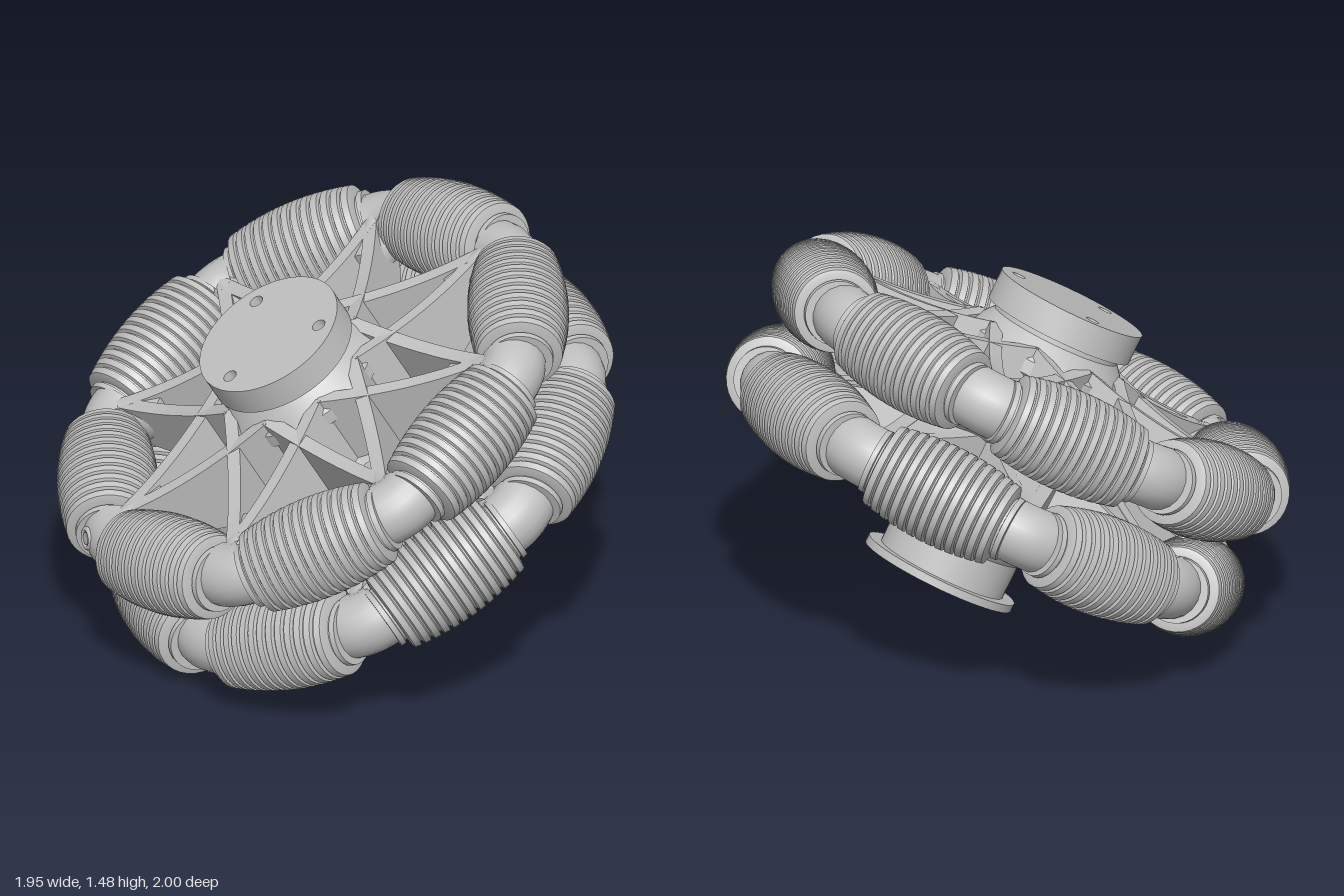
import * as THREE from 'three';
import { toCreasedNormals } from 'three/addons/utils/BufferGeometryUtils.js';

const grey = new THREE.MeshStandardMaterial({ color: 0xc0c0c0 });
grey.name = 'grey plastic';

const STEP = Math.PI / 4;      // eight rollers per ring
const PATH = 0.82;             // distance of roller axles from the hub axis
const OFFSET = 0.185;          // axial offset of each ring

function add(parent, name, geometry, x = 0, y = 0, z = 0) {
  const mesh = new THREE.Mesh(geometry, grey);
  mesh.name = name;
  mesh.position.set(x, y, z);
  parent.add(mesh);
  return mesh;
}

const lathe = (points, sides) => toCreasedNormals(
  new THREE.LatheGeometry(points.map(([r, y]) => new THREE.Vector2(r, y)), sides), 0.6);

// Barrel roller with ribs, following the outer circle of the wheel
function rollerGeometry() {
  const ribs = 13, half = 0.245, pitch = 2 * half / ribs;
  const points = [[0, -0.275], [0.118, -0.275], [0.12, -0.255], [0.11, -0.253], [0.11, -half]];
  for (let i = 0; i < ribs; i++) {
    for (const [f, depth] of [[0.04, 0.013], [0.16, 0], [0.78, 0], [0.9, 0.013]]) {
      const s = -half + (i + f) * pitch;
      points.push([Math.sqrt(1 - s * s) - PATH - depth, s]);
    }
  }
  points.push([0.11, half], [0.11, 0.253], [0.12, 0.255], [0.118, 0.275], [0, 0.275]);
  return lathe(points, 32).rotateX(Math.PI / 2);
}

// Short bent elbow joining two neighbouring rollers
function jointGeometry() {
  return new THREE.TorusGeometry(0.155, 0.115, 20, 8, STEP)
    .rotateZ(-STEP / 2).rotateX(Math.PI / 2);
}

// Deep web of a spoke; x = 0 is where two neighbouring arms cross
function armGeometry(length) {
  const s = new THREE.Shape();
  s.moveTo(-0.15, -0.1);
  s.quadraticCurveTo(length * 0.4, 0.05, length, 0.1);
  s.lineTo(length, 0.275);
  s.quadraticCurveTo(length * 0.4, 0.26, -0.15, 0.36);
  s.closePath();
  return new THREE.ExtrudeGeometry(s, { depth: 0.05, bevelEnabled: false, curveSegments: 10 })
    .translate(0, 0, -0.025);
}

// Curved tapering floor that closes the V between the two arms of a spoke
function floorGeometry() {
  const g = new THREE.BoxGeometry(1, 0.03, 1, 10, 1, 1);
  const p = g.attributes.position;
  for (let i = 0; i < p.count; i++) {
    const t = p.getX(i) + 0.5, x = 0.2 + 0.56 * t;
    const width = 0.632 * (0.77 - x) + 0.04;
    const y = -0.1 * (1 - t) ** 2 + 0.1 * t * (1 - t) + 0.1 * t * t;
    p.setXYZ(i, x, p.getY(i) + y + 0.015, p.getZ(i) * width);
  }
  g.computeVertexNormals();
  return g;
}

function createRing(name, turn, screw) {
  const ring = new THREE.Group();
  ring.name = name;
  const node = new THREE.Vector2(0.36 * Math.cos(STEP / 2), 0.36 * Math.sin(STEP / 2));
  const run = new THREE.Vector2(0.77 - node.x, node.y);
  const roller = rollerGeometry(), joint = jointGeometry();
  const web = armGeometry(run.length()), floor = floorGeometry();
  const boss = new THREE.CylinderGeometry(0.075, 0.105, 0.22, 20)
    .rotateZ(Math.PI / 2).scale(1, 1, 0.75);
  for (let i = 0; i < 8; i++) {
    const sector = new THREE.Group();
    sector.name = 'sector';
    sector.rotation.y = turn + i * STEP;
    ring.add(sector);
    add(sector, 'joint', joint, 0.692, OFFSET, 0);
    add(sector, 'jointBoss', boss, 0.73, OFFSET, 0);
    add(sector, 'spokeFloor', floor);
    for (const side of [1, -1]) {
      add(sector, 'spokeArm', web, node.x, 0, side * node.y)
        .rotation.y = side * Math.atan2(run.y, run.x);
    }
    const station = new THREE.Group();
    station.name = 'rollerStation';
    station.rotation.y = STEP / 2;
    sector.add(station);
    add(station, 'roller', roller, PATH, OFFSET, 0);
    // Screw on the shoulder of one joint
    if (screw && i === 4) {
      const bolt = new THREE.Group();
      bolt.name = 'screw';
      bolt.position.set(0.935, OFFSET + 0.062, 0.03);
      bolt.rotation.z = 0.6;
      sector.add(bolt);
      add(bolt, 'screwRim', new THREE.TorusGeometry(0.034, 0.009, 8, 20).rotateY(Math.PI / 2), 0.003);
      add(bolt, 'screwHead', new THREE.CylinderGeometry(0.022, 0.022, 0.03, 16).rotateZ(Math.PI / 2), -0.006);
    }
  }
  return ring;
}

// Hub body with bored lower flange, and a drilled cap
function createHub() {
  const hub = new THREE.Group();
  hub.name = 'hub';
  add(hub, 'hubBody', lathe([
    [0, -0.42], [0.085, -0.42], [0.085, -0.567], [0.285, -0.567], [0.285, -0.537],
    [0.238, -0.537], [0.238, -0.41], [0.265, -0.38], [0.3, -0.31], [0.3, -0.26],
    [0.22, -0.2], [0.22, 0.2], [0.3, 0.26], [0.3, 0.31], [0.265, 0.36],
    [0.24, 0.39], [0.24, 0.43], [0, 0.43]], 48));
  const disc = new THREE.Shape().absarc(0, 0, 0.275, 0, Math.PI * 2);
  for (let i = 0; i < 3; i++) {
    const a = Math.PI * (0.44 + i * 2 / 3);
    disc.holes.push(new THREE.Path().absarc(0.21 * Math.cos(a), 0.21 * Math.sin(a), 0.025, 0, Math.PI * 2, true));
  }
  const cap = new THREE.ExtrudeGeometry(disc, { depth: 0.11, bevelEnabled: false, curveSegments: 32 });
  add(hub, 'hubCap', toCreasedNormals(cap.rotateX(-Math.PI / 2), 0.6), 0, 0.412, 0);
  return hub;
}

export function createModel() {
  const model = new THREE.Group();
  model.name = 'omniWheel';
  const wheel = new THREE.Group();
  wheel.name = 'tiltedWheel';
  wheel.position.set(0, 0.742, 0);
  wheel.rotation.z = Math.PI / 6;
  const upper = createRing('upperRing', 0, true);
  const lower = createRing('lowerRing', STEP / 2, false);
  lower.rotation.x = Math.PI;
  wheel.add(upper, lower, createHub());
  model.add(wheel);
  return model;
}
